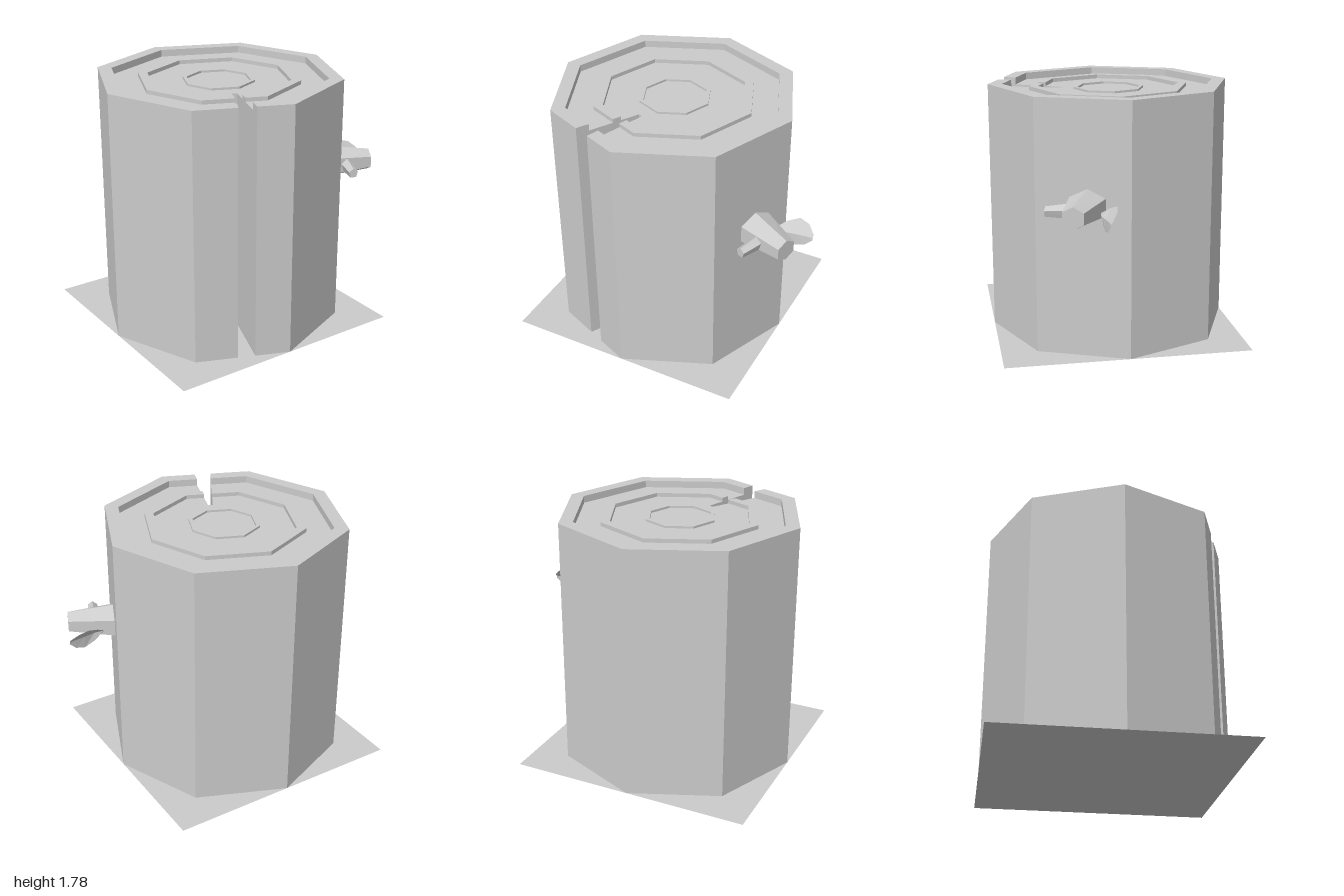
import * as THREE from 'three';

const material = () => new THREE.MeshStandardMaterial({ color: 0xcccccc, flatShading: true, side: THREE.DoubleSide });
const V2 = (x, y) => new THREE.Vector2(x, y);
const V3 = (x, y, z) => new THREE.Vector3(x, y, z);

const CENTRE_X = -0.135, RADIUS = 0.863, BASE_Y = 0.02, FLOOR_Y = 1.75;

// Crack sides in plan (x, -z from the trunk centre), from the bark inwards
const CRACK_LEFT = [V2(-0.335, -0.715), V2(-0.105, -0.315)];
const CRACK_RIGHT = [V2(-0.226, -0.765), V2(-0.075, -0.33)];

// Where a crack side crosses the front-left edge of an octagon
function crossing([a, b], r) {
  const angle = THREE.MathUtils.degToRad(247.5);
  const n = V2(Math.cos(angle), Math.sin(angle));
  const t = (r * Math.cos(Math.PI / 8) - n.dot(a)) / n.dot(b.clone().sub(a));
  return a.clone().lerp(b, t);
}

// Octagon corners, starting at the front
const octagon = (r) => Array.from({ length: 8 }, (_, i) => {
  const a = -Math.PI / 2 + i * Math.PI / 4;
  return V2(r * Math.cos(a), r * Math.sin(a));
});

// Octagon outline left open at the crack
const splitOctagon = (r) => [crossing(CRACK_RIGHT, r), ...octagon(r), crossing(CRACK_LEFT, r)];

function addMesh(group, name, geometry) {
  const mesh = new THREE.Mesh(geometry, material());
  mesh.name = name;
  group.add(mesh);
  return mesh;
}

// Plan shape raised between two heights
function addSlab(group, name, shape, y0, y1) {
  const geometry = new THREE.ExtrudeGeometry(shape, { depth: y1 - y0, bevelEnabled: false });
  geometry.rotateX(-Math.PI / 2);
  geometry.translate(CENTRE_X, y0, 0);
  return addMesh(group, name, geometry);
}

// Tapered limb between two cross-sections with given half-widths
function limb(start, end, side, up, size0, size1, sides) {
  const pos = [], index = [];
  for (const [c, s] of [[start, size0], [end, size1]]) {
    for (let i = 0; i < sides; i++) {
      const a = Math.PI / 2 + i * 2 * Math.PI / sides;
      const p = c.clone().addScaledVector(side, Math.cos(a) * s[0]).addScaledVector(up, Math.sin(a) * s[1]);
      pos.push(...p.toArray());
    }
  }
  for (let i = 0; i < sides; i++) {
    const j = (i + 1) % sides;
    index.push(i, j, sides + j, i, sides + j, sides + i);
    if (i > 0 && i < sides - 1) index.push(0, i + 1, i, sides, sides + i, sides + i + 1);
  }
  const geometry = new THREE.BufferGeometry();
  geometry.setAttribute('position', new THREE.Float32BufferAttribute(pos, 3));
  geometry.setIndex(index);
  geometry.computeVertexNormals();
  return geometry;
}

// Cupped leaf: rows of upper edge, midrib and lower edge
function leafGeometry() {
  const rows = [ // x, midrib z, edge z, half width
    [0.73, 0.205, 0.205, 0.005],
    [0.80, 0.212, 0.178, 0.055],
    [0.88, 0.198, 0.162, 0.086],
    [0.95, 0.19, 0.165, 0.066],
    [1.0, 0.185, 0.18, 0.018],
  ];
  const pos = [], index = [];
  rows.forEach(([x, mid, edge, w], i) => {
    pos.push(x, 1.06 + w, edge - 0.45 * w, x, 1.06, mid, x, 1.06 - w, edge + 0.45 * w);
    if (i === 0) return;
    for (let k = 0; k < 2; k++) {
      const a = (i - 1) * 3 + k, b = i * 3 + k;
      index.push(a, a + 1, b + 1, a, b + 1, b);
    }
  });
  const geometry = new THREE.BufferGeometry();
  geometry.setAttribute('position', new THREE.Float32BufferAttribute(pos, 3));
  geometry.setIndex(index);
  geometry.computeVertexNormals();
  return geometry;
}

export function createModel() {
  const model = new THREE.Group();
  model.name = 'treeStump';

  // Flat square of ground under the stump
  const ground = new THREE.PlaneGeometry(RADIUS * 2, RADIUS * 2);
  ground.rotateX(-Math.PI / 2);
  ground.translate(CENTRE_X, BASE_Y, 0);
  addMesh(model, 'basePlate', ground);

  // Trunk with a wedge-shaped crack over its full height
  const trunk = new THREE.Shape([...splitOctagon(RADIUS), CRACK_LEFT[1], CRACK_RIGHT[1]]);
  addSlab(model, 'trunk', trunk, BASE_Y, FLOOR_Y);

  // Raised bark rim and growth ring, both split by the crack
  for (const [name, outer, inner, top] of [['barkRim', RADIUS, 0.762, 1.8], ['growthRing', 0.572, 0.506, 1.778]]) {
    const shape = new THREE.Shape([...splitOctagon(outer), ...splitOctagon(inner).reverse()]);
    addSlab(model, name, shape, FLOOR_Y, top);
  }

  // Small unbroken ring at the heart
  const heart = new THREE.Shape(octagon(0.253));
  heart.holes.push(new THREE.Path(octagon(0.225).reverse()));
  addSlab(model, 'heartRing', heart, FLOOR_Y, 1.765);

  // Branch stub, cut parallel to the trunk side
  const up = V3(0, 1, 0);
  const side = V3(0.383, 0, -0.924);
  addMesh(model, 'branch', limb(V3(0.612, 1.08, 0.275), V3(0.902, 1.082, 0.415),
    side, up, [0.144, 0.12], [0.082, 0.077], 6));

  // Twig growing forward from the branch
  addMesh(model, 'twig', limb(V3(0.715, 1.08, 0.37), V3(0.64, 1.067, 0.56),
    V3(0.93, 0, 0.37), up, [0.05, 0.058], [0.035, 0.036], 5));

  // Leaf behind the branch
  addMesh(model, 'leaf', leafGeometry());

  return model;
}
